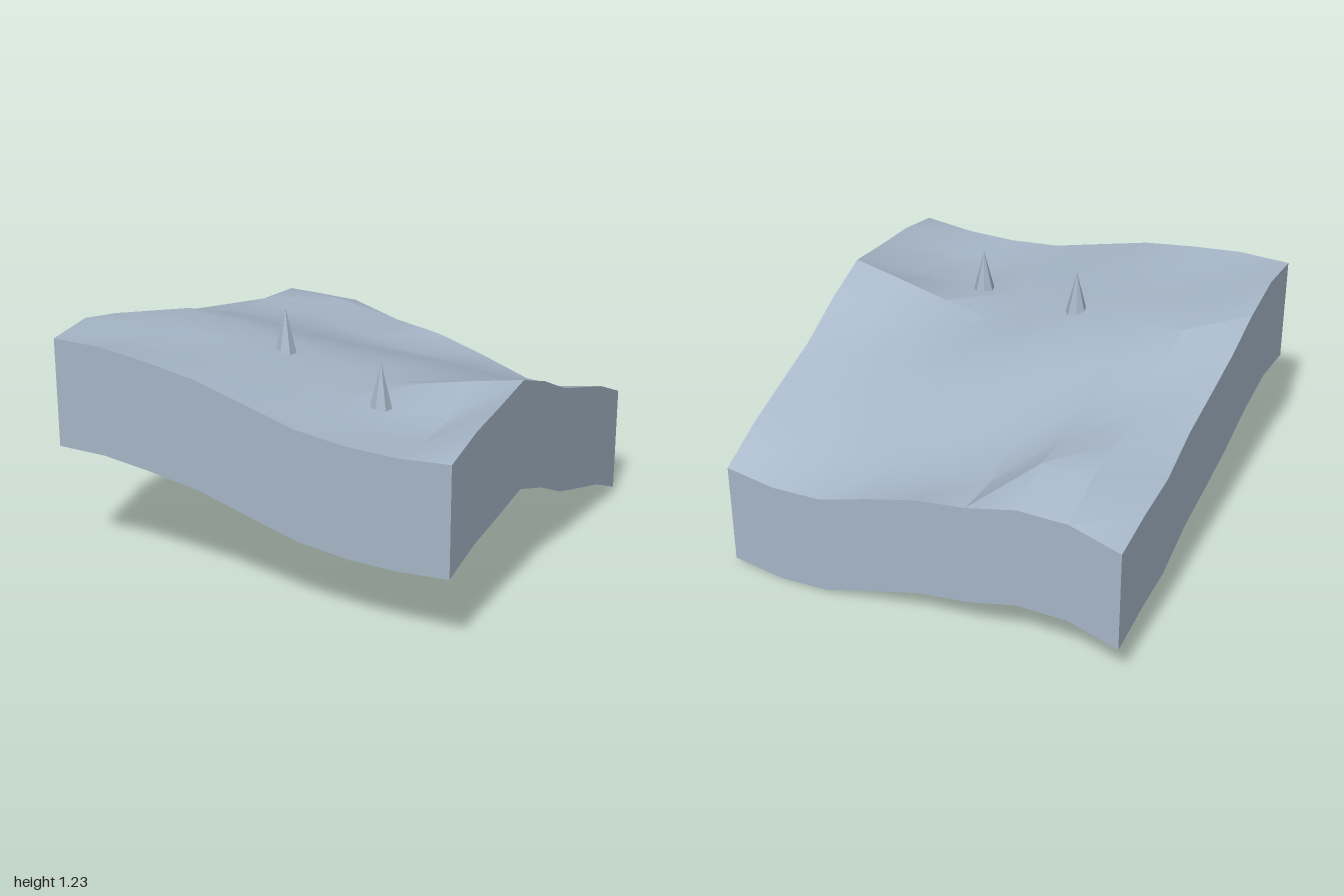
import * as THREE from 'three';
import { toCreasedNormals } from 'three/addons/utils/BufferGeometryUtils.js';

const N = 8;          // grid cells per side
const DEPTH = 0.53;   // height of the side walls

// Ground heights, rows from back (z = -1) to front (z = 1), columns from x = -1 to 1
const HEIGHTS = [
  [0.75, 0.825, 0.82, 0.75, 0.71, 0.635, 0.55, 0.535, 0.57],
  [0.795, 0.92, 0.91, 0.73, 0.69, 0.67, 0.64, 0.635, 0.68],
  [0.82, 0.94, 0.89, 0.79, 0.77, 0.76, 0.73, 0.72, 0.76],
  [0.92, 0.95, 0.93, 0.88, 0.86, 0.84, 0.82, 0.81, 0.84],
  [0.975, 1.02, 1.01, 0.97, 0.93, 0.89, 0.88, 0.90, 0.96],
  [1.035, 1.11, 1.08, 1.04, 0.97, 0.905, 0.945, 1.0, 1.05],
  [1.12, 1.11, 1.09, 1.05, 0.98, 0.92, 0.89, 0.90, 1.015],
  [1.172, 1.11, 1.09, 1.07, 1.0, 0.93, 0.89, 0.885, 0.985],
  [1.15, 1.15, 1.12, 1.08, 1.01, 0.94, 0.91, 0.905, 0.925],
];

const gridPoint = (col, row) =>
  new THREE.Vector3(-1 + (2 * col) / N, HEIGHTS[row][col], -1 + (2 * row) / N);

// Rolling ground: a plane lifted to the grid heights
function groundGeometry() {
  const geo = new THREE.PlaneGeometry(2, 2, N, N).rotateX(-Math.PI / 2);
  const pos = geo.attributes.position;
  for (let i = 0; i < pos.count; i++) {
    pos.setY(i, HEIGHTS[Math.floor(i / (N + 1))][i % (N + 1)]);
  }
  return toCreasedNormals(geo, 0.45);
}

// One wall hanging from a border of the ground
function wallGeometry(border) {
  const verts = [];
  const index = [];
  border.forEach((p, i) => {
    verts.push(p.x, p.y, p.z, p.x, p.y - DEPTH, p.z);
    if (i < N) {
      const a = i * 2;
      index.push(a, a + 1, a + 3, a, a + 3, a + 2);
    }
  });
  const geo = new THREE.BufferGeometry();
  geo.setAttribute('position', new THREE.Float32BufferAttribute(verts, 3));
  geo.setIndex(index);
  geo.computeVertexNormals();
  return geo;
}

export function createModel() {
  const model = new THREE.Group();
  model.name = 'terrainTile';

  const stone = new THREE.MeshStandardMaterial({ color: 0xa6b6c7 });
  stone.name = 'blueGreyStone';
  stone.side = THREE.DoubleSide;

  const add = (name, geo) => {
    const mesh = new THREE.Mesh(geo, stone);
    mesh.name = name;
    model.add(mesh);
    return mesh;
  };

  add('ground', groundGeometry());

  // Four side walls, open underneath
  const steps = Array.from({ length: N + 1 }, (_, i) => i);
  add('frontWall', wallGeometry(steps.map((i) => gridPoint(i, N))));
  add('leftWall', wallGeometry(steps.map((i) => gridPoint(N, N - i))));
  add('backWall', wallGeometry(steps.map((i) => gridPoint(N - i, 0))));
  add('rightWall', wallGeometry(steps.map((i) => gridPoint(0, i))));

  // Two faceted spikes standing on the ground
  const spikeHeight = 0.22;
  const spikeGeo = toCreasedNormals(new THREE.ConeGeometry(0.053, spikeHeight, 7), 0.1);
  for (const [x, tip, z] of [[-0.17, 1.23, 0.33], [0.415, 1.117, 0.5]]) {
    add('spike', spikeGeo).position.set(x, tip - spikeHeight / 2, z);
  }

  return model;
}
